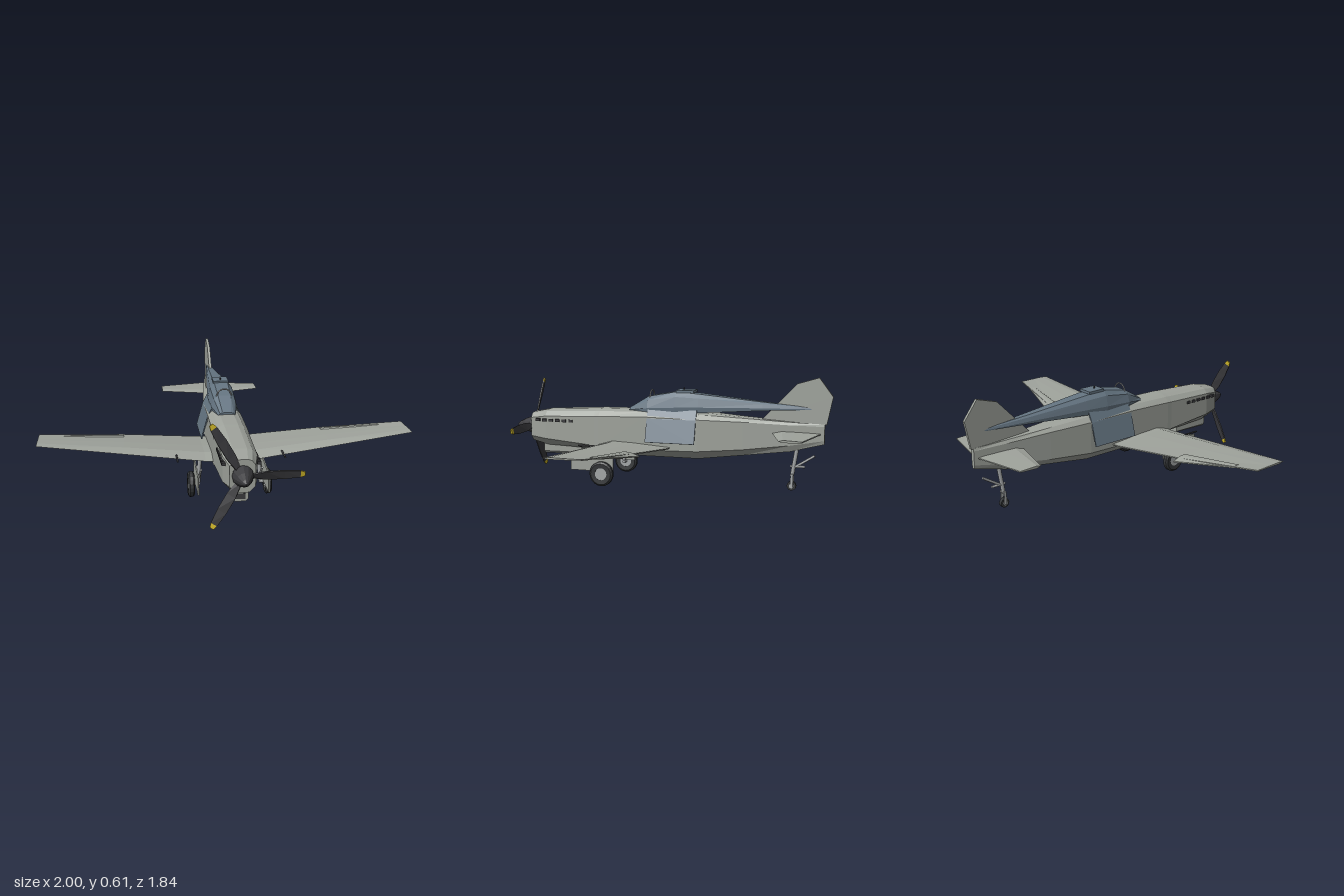
import * as THREE from 'three';

const mat = (name, color, extra = {}) => {
  const m = new THREE.MeshStandardMaterial({ color, ...extra });
  m.name = name;
  return m;
};

// Closed faceted solid through rings of [x, y, z]; winding is made to face outward.
function loft(rings) {
  const n = rings[0].length, tris = [];
  for (let i = 0; i < rings.length - 1; i++)
    for (let j = 0; j < n; j++) {
      const k = (j + 1) % n, a = rings[i], b = rings[i + 1];
      tris.push([a[j], a[k], b[j]], [a[k], b[k], b[j]]);
    }
  const last = rings[rings.length - 1];
  for (let j = 1; j < n - 1; j++) {
    tris.push([rings[0][0], rings[0][j + 1], rings[0][j]]);
    tris.push([last[0], last[j], last[j + 1]]);
  }
  let volume = 0;
  for (const [a, b, c] of tris)
    volume += new THREE.Vector3(...a).dot(new THREE.Vector3(...b).cross(new THREE.Vector3(...c)));
  if (volume < 0) tris.forEach((t) => t.reverse());
  const g = new THREE.BufferGeometry();
  g.setAttribute('position', new THREE.Float32BufferAttribute(tris.flat(2), 3));
  g.computeVertexNormals();
  return g;
}

// Mirrors a half section, listed from top to bottom, into a ring at z.
const ringAt = (z, half) => [
  ...half.map(([x, y]) => [x, y, z]).reverse(),
  ...half.map(([x, y]) => [-x, y, z]),
];

// Flat plate with an outline in [z, y], centred on x.
const plate = (pts, x, t) => loft([x - t / 2, x + t / 2].map((px) => pts.map(([z, y]) => [px, y, z])));

// Aerofoil section at x.
const foil = (x, lead, trail, y, t, drop = 0) => {
  const c = lead - trail;
  return [[x, y, lead], [x, y + t * 0.5, lead - c * 0.2], [x, y + t * 0.4, lead - c * 0.5], [x, y - drop + 0.003, trail],
    [x, y - drop - 0.003, trail], [x, y - t * 0.4, lead - c * 0.5], [x, y - t * 0.5, lead - c * 0.2]];
};

// Round bar between two points.
function bar(a, b, r, sides = 8) {
  const p = new THREE.Vector3(...a), q = new THREE.Vector3(...b), d = q.clone().sub(p);
  const g = new THREE.CylinderGeometry(r, r, d.length(), sides);
  g.applyQuaternion(new THREE.Quaternion().setFromUnitVectors(new THREE.Vector3(0, 1, 0), d.normalize()));
  return g.translate(...p.add(q).multiplyScalar(0.5).toArray());
}

const box = (w, h, d, x, y, z) => new THREE.BoxGeometry(w, h, d).translate(x, y, z);

export function createModel() {
  const grey = mat('airframe grey', 0x9fa39c);
  const glass = mat('blue grey canopy', 0x657582);
  const dark = mat('dark metal', 0x3b3b3e);
  const rubber = mat('tyre black', 0x343638);
  const metal = mat('strut metal', 0xa4a7a8);
  const yellow = mat('tip yellow', 0xd2b92a);

  const model = new THREE.Group();
  model.name = 'aircraft';
  const add = (name, geometry, material, parent = model) => {
    const m = new THREE.Mesh(geometry, material);
    m.name = name;
    parent.add(m);
    return m;
  };

  // Fuselage: z, half width, top, shoulder, chine, bottom
  const stations = [
    [-0.88, 0.012, 0.365, 0.355, 0.28, 0.26], [-0.7, 0.035, 0.375, 0.36, 0.25, 0.215],
    [-0.45, 0.065, 0.392, 0.37, 0.22, 0.185], [-0.2, 0.09, 0.412, 0.375, 0.2, 0.155],
    [0.1, 0.092, 0.415, 0.38, 0.195, 0.155], [0.37, 0.092, 0.412, 0.372, 0.195, 0.158],
    [0.4, 0.09, 0.41, 0.37, 0.205, 0.18], [0.7, 0.085, 0.395, 0.36, 0.23, 0.19], [0.8, 0.062, 0.375, 0.345, 0.24, 0.21],
  ];
  add('fuselage', loft(stations.map(([z, w, top, sh, ch, bot]) => ringAt(z, [
    [w * 0.4, top], [w * 0.72, (top + sh) / 2 + 0.008], [w, sh], [w, ch], [w * 0.55, bot],
  ]))), grey);
  add('chinIntake', loft([
    ringAt(0.5, [[0.035, 0.19], [0.035, 0.15], [0.022, 0.14]]),
    ringAt(0.73, [[0.04, 0.2], [0.04, 0.15], [0.026, 0.136]]),
  ]), grey);
  add('intakeMouth', box(0.05, 0.028, 0.006, 0, 0.163, 0.73), dark);

  // Canopy with its long tapering spine: z, half width, top, bottom
  add('canopy', loft([
    [-0.81, 0.008, 0.455, 0.443], [-0.55, 0.035, 0.477, 0.432], [-0.2, 0.066, 0.51, 0.41],
    [-0.07, 0.075, 0.52, 0.4], [0.09, 0.07, 0.49, 0.4], [0.2, 0.045, 0.425, 0.405],
  ].map(([z, w, top, bot]) => ringAt(z, [
    [w * 0.5, top], [w * 0.82, top - (top - bot) * 0.22], [w, bot + (top - bot) * 0.3], [w * 0.95, bot],
  ]))), glass);
  add('canopyHatch', box(0.085, 0.014, 0.1, 0, 0.522, -0.12), glass);
  add('hatchPin', bar([0, 0.52, -0.105], [0, 0.54, -0.105], 0.004), dark);
  add('canopyHoop', new THREE.TorusGeometry(0.04, 0.004, 6, 16, Math.PI).translate(0, 0.483, 0.08), metal);

  // Tail fin
  add('tailFin', plate([[-0.54, 0.38], [-0.73, 0.58], [-0.845, 0.615], [-0.92, 0.515], [-0.89, 0.365]], 0, 0.016), grey);

  for (const s of [1, -1]) {
    const side = new THREE.Group();
    side.name = s > 0 ? 'leftSide' : 'rightSide';
    model.add(side);

    // Wing and drooped aileron
    add('wing', loft([
      foil(0, 0.375, -0.05, 0.212, 0.05), foil(s * 0.13, 0.366, -0.045, 0.214, 0.046),
      foil(s * 0.55, 0.33, 0.003, 0.258, 0.032), foil(s, 0.29, 0.095, 0.305, 0.01),
    ]), grey, side);
    add('aileron', loft([
      foil(s * 0.55, 0.07, -0.03, 0.255, 0.03, 0.008), foil(s * 0.87, 0.11, 0.068, 0.291, 0.012, 0.002),
    ]), grey, side);
    add('tailplane', loft([
      foil(s * 0.02, -0.6, -0.86, 0.315, 0.022), foil(s * 0.3, -0.68, -0.8, 0.315, 0.014),
    ]), grey, side);

    // Flared cockpit side panel
    const edge = [[0.066, 0.425], [0.092, 0.372], [0.128, 0.245], [0.122, 0.243], [0.086, 0.368], [0.06, 0.42]];
    for (const [a, b] of [[0, 1], [1, 2]]) {
      const strip = [edge[a], edge[b], edge[5 - b], edge[5 - a]];
      add('cockpitSidePanel', loft([-0.195, 0.085].map((z) => strip.map(([x, y]) => [s * x, y, z]))), glass, side);
    }

    // Exhaust stubs
    for (let i = 0; i < 6; i++)
      add('exhaustStub', box(0.018, 0.015, 0.024, s * 0.086, 0.338, 0.54 + i * 0.041), dark, side);
    add('gunBarrel', bar([s * 0.28, 0.237, 0.3], [s * 0.28, 0.237, 0.415], 0.005), dark, side);

    // Main landing gear
    const gear = new THREE.Group();
    gear.name = 'mainGear';
    side.add(gear);
    const turn = (g, x) => g.rotateZ(Math.PI / 2).translate(s * x, 0.07, 0.31);
    add('tyre', turn(new THREE.LatheGeometry([
      [0.034, -0.015], [0.058, -0.017], [0.068, -0.009], [0.068, 0.009], [0.058, 0.017], [0.034, 0.015], [0.034, -0.015],
    ].map((p) => new THREE.Vector2(...p)), 20).toNonIndexed(), 0.205), rubber, gear).geometry.computeVertexNormals();
    add('wheelHub', turn(new THREE.CylinderGeometry(0.036, 0.036, 0.028, 16), 0.205), metal, gear);
    add('strut', bar([s * 0.158, 0.21, 0.31], [s * 0.165, 0.08, 0.31], 0.011), metal, gear);
    add('axle', bar([s * 0.158, 0.07, 0.31], [s * 0.21, 0.07, 0.31], 0.009), metal, gear);
    add('dragBrace', bar([s * 0.16, 0.185, 0.41], [s * 0.162, 0.11, 0.315], 0.006), metal, gear);
    add('gearDoor', plate([[0.5, 0.08], [0.5, 0.175], [0.25, 0.205], [0.25, 0.08]], s * 0.182, 0.007), grey, gear);
  }

  // Propeller and spinner
  const propeller = new THREE.Group();
  propeller.name = 'propeller';
  propeller.position.set(0, 0.295, 0.8);
  model.add(propeller);
  const cone = new THREE.LatheGeometry([[0, -0.01], [0.052, -0.01], [0.052, 0.012], [0.036, 0.06], [0.016, 0.1], [0, 0.118]]
    .map((p) => new THREE.Vector2(...p)), 12).rotateX(Math.PI / 2).toNonIndexed();
  cone.computeVertexNormals();
  add('spinner', cone, dark, propeller);
  const bladeRing = (x, w, twist) => [[-w, 0.004], [w, 0.004], [w, -0.004], [-w, -0.004]].map(([y, z]) => [
    x, y * Math.cos(twist) - z * Math.sin(twist), y * Math.sin(twist) + z * Math.cos(twist) + 0.008]);
  for (let i = 0; i < 3; i++) {
    const blade = new THREE.Group();
    blade.name = 'blade';
    blade.rotation.z = (i * Math.PI * 2) / 3;
    propeller.add(blade);
    add('bladeBody', loft([bladeRing(0.03, 0.012, 0.6), bladeRing(0.11, 0.024, 0.4), bladeRing(0.2, 0.024, 0.28),
      bladeRing(0.275, 0.017, 0.2)]), dark, blade);
    add('bladeTip', loft([bladeRing(0.275, 0.017, 0.2), bladeRing(0.298, 0.01, 0.18)]), yellow, blade);
  }

  // Tail wheel
  const tail = new THREE.Group();
  tail.name = 'tailGear';
  model.add(tail);
  add('tailTyre', new THREE.CylinderGeometry(0.025, 0.025, 0.02, 14).rotateZ(Math.PI / 2).translate(0, 0.026, -0.71), rubber, tail);
  add('tailHub', new THREE.CylinderGeometry(0.013, 0.013, 0.026, 10).rotateZ(Math.PI / 2).translate(0, 0.026, -0.71), metal, tail);
  for (const s of [1, -1]) add('tailFork', box(0.006, 0.065, 0.014, s * 0.016, 0.053, -0.712), metal, tail);
  add('tailForkCrown', box(0.038, 0.01, 0.016, 0, 0.087, -0.712), metal, tail);
  add('tailStrut', bar([0, 0.085, -0.712], [0, 0.235, -0.735], 0.011), metal, tail);
  add('tailLink', bar([0, 0.132, -0.7], [0, 0.132, -0.78], 0.007), metal, tail);
  add('tailBrace', bar([0, 0.125, -0.72], [0, 0.195, -0.83], 0.007), metal, tail);

  return model;
}
